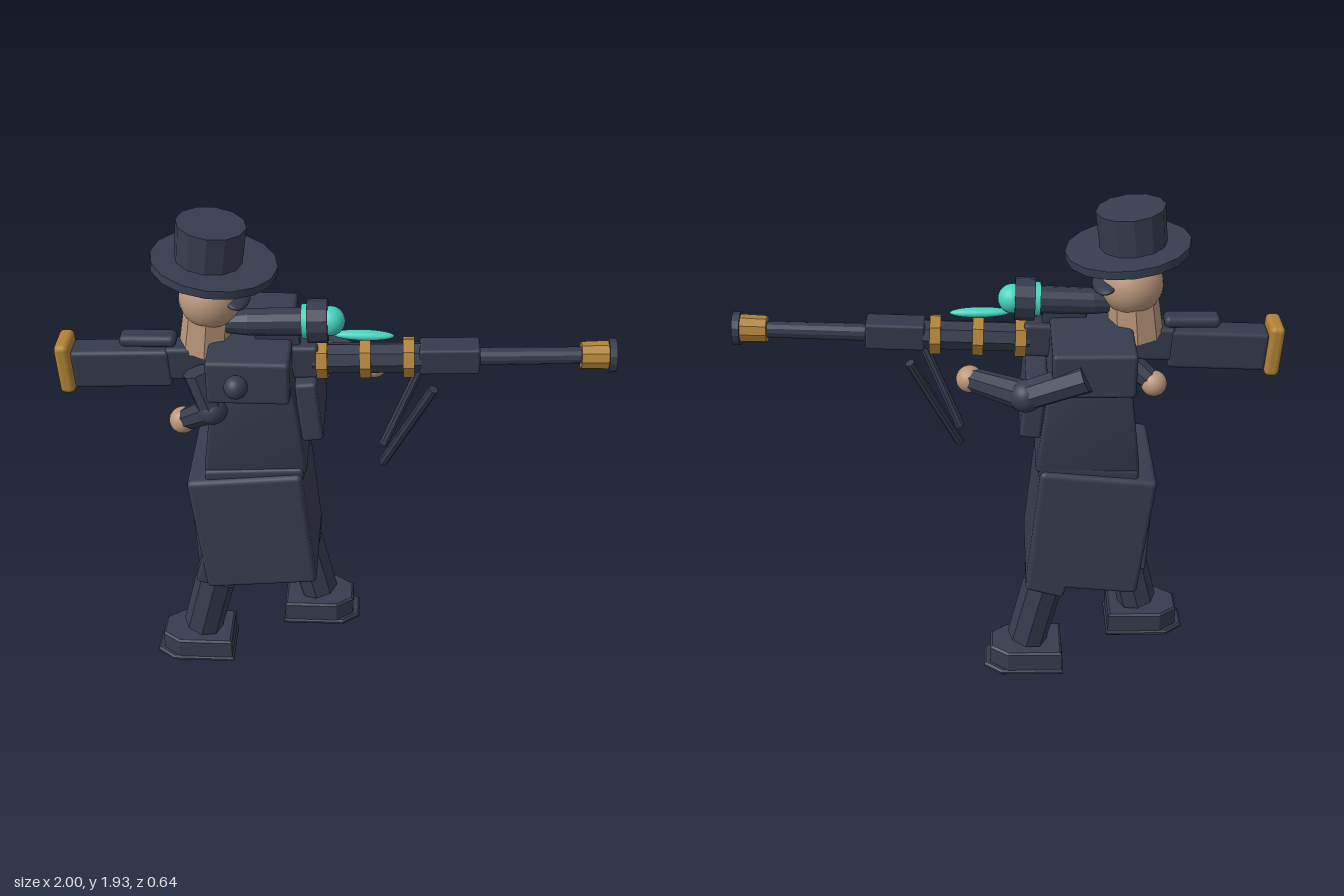
import * as THREE from 'three';
import { toCreasedNormals } from 'three/addons/utils/BufferGeometryUtils.js';
import { RoundedBoxGeometry } from 'three/addons/geometries/RoundedBoxGeometry.js';

const mat = (name, color) => Object.assign(new THREE.MeshStandardMaterial({ color }), { name });

export function createModel() {
  const cloth = mat('dark cloth', 0x373d4e);
  const metal = mat('dark metal', 0x343a4b);
  const brass = mat('brass', 0xb08236);
  const skin = mat('skin', 0xb8957a);
  const teal = mat('teal glow', 0x45d3be);
  const V = (p) => new THREE.Vector3(...p);

  const model = new THREE.Group();
  model.name = 'riflemanFigure';
  const group = (name, parent = model) => {
    const g = new THREE.Group();
    g.name = name;
    parent.add(g);
    return g;
  };
  const add = (parent, name, geo, material, pos = [0, 0, 0], rz = 0) => {
    const m = new THREE.Mesh(geo, material);
    m.name = name;
    m.position.set(...pos);
    m.rotation.z = rz;
    parent.add(m);
    return m;
  };
  const box = (w, h, d, r = 0.015) => new RoundedBoxGeometry(w, h, d, 2, r);
  const cyl = (rTop, rBottom, h, n) => toCreasedNormals(new THREE.CylinderGeometry(rTop, rBottom, h, n), 0.4);
  const ball = (r) => new THREE.SphereGeometry(r, 24, 16);
  // cylinder along x, r0 at the -x end
  const tubeX = (r0, r1, x0, x1, n) => cyl(r0, r1, x1 - x0, n).rotateZ(Math.PI / 2).translate((x0 + x1) / 2, 0, 0);
  // prism limb between two points
  const limb = (parent, name, a, b, ra, rb, material, n = 8) => {
    const A = V(a), B = V(b), dir = B.clone().sub(A);
    const m = add(parent, name, cyl(rb, ra, dir.length(), n), material);
    m.position.copy(A).add(B).multiplyScalar(0.5);
    m.quaternion.setFromUnitVectors(new THREE.Vector3(0, 1, 0), dir.normalize());
    return m;
  };
  // narrows a box in x towards its top
  const taperX = (geo, h, topScale) => {
    const p = geo.attributes.position;
    for (let i = 0; i < p.count; i++) {
      const t = p.getY(i) / h + 0.5;
      p.setX(i, p.getX(i) * (1 + (topScale - 1) * t));
    }
    geo.computeVertexNormals();
    return toCreasedNormals(geo, 0.4);
  };

  // coat
  const coat = group('coat');
  add(coat, 'skirt', box(0.435, 0.525, 0.43, 0.02), cloth, [-0.307, 0.69, -0.015], 0.1);
  add(coat, 'waistband', box(0.37, 0.06, 0.39), cloth, [-0.295, 0.955, -0.015], 0.06);
  add(coat, 'torso', taperX(box(0.385, 0.49, 0.38), 0.49, 0.68), cloth, [-0.29, 1.21, -0.02]);
  add(coat, 'shoulders', box(0.295, 0.17, 0.51), cloth, [-0.298, 1.403, -0.02]);
  add(coat, 'chestPanel', box(0.08, 0.25, 0.32), cloth, [-0.09, 1.22, -0.02], 0.1);
  add(coat, 'shoulderKnob', ball(0.042), cloth, [-0.332, 1.425, 0.283]);
  for (const z of [0.065, -0.075])
    add(coat, 'coatTail', box(0.03, 0.32, 0.08, 0.008), cloth, [-0.53, 0.6, z], 0.03);

  // head, glasses and neck
  const head = group('head');
  add(head, 'skull', ball(0.112), skin, [-0.44, 1.625, 0.015]);
  add(head, 'neck', cyl(0.09, 0.1, 0.15, 8), skin, [-0.455, 1.5, 0.015], -0.1);
  const glasses = add(head, 'glasses', ball(1), metal, [-0.345, 1.632, 0.012], -0.25);
  glasses.scale.set(0.048, 0.02, 0.1);

  // hat, tipped towards the front of the rifle
  const hat = group('hat');
  hat.position.set(-0.42, 1.76, 0.015);
  hat.rotation.z = -0.12;
  add(hat, 'brim', cyl(0.222, 0.222, 0.03, 16), cloth);
  add(hat, 'crown', cyl(0.122, 0.118, 0.15, 12), cloth, [-0.02, 0.075, 0]);

  // legs and shoes
  const leg = (name, hip, knee, ankle, shoeX, toe) => {
    const g = group(name);
    const slope = Math.atan2(knee[0] - hip[0], hip[1] - knee[1]);
    const len = Math.hypot(knee[0] - hip[0], knee[1] - hip[1]);
    add(g, 'thigh', box(0.155, len + 0.08, 0.18), cloth,
      [(hip[0] + knee[0]) / 2, (hip[1] + knee[1]) / 2, hip[2]], slope);
    limb(g, 'shin', knee, ankle, 0.08, 0.08, cloth);
    // shoe outline seen from above, with a cut toe
    const slab = (heel, tip, w, h) => {
      const s = new THREE.Shape([[-heel, -w], [tip - 0.07, -w], [tip, -w * 0.5], [tip, w * 0.5], [tip - 0.07, w], [-heel, w]]
        .map(([x, y]) => new THREE.Vector2(x * toe, y * toe)));
      return new THREE.ExtrudeGeometry(s, {
        depth: h - 0.016, bevelEnabled: true, bevelSize: 0.008, bevelThickness: 0.008, bevelOffset: -0.008, bevelSegments: 1,
      }).rotateX(-Math.PI / 2).translate(0, 0.008, 0);
    };
    add(g, 'sole', slab(0.155, 0.165, 0.103, 0.025), metal, [shoeX, 0, ankle[2]]);
    add(g, 'shoe', slab(0.148, 0.138, 0.097, 0.095), cloth, [shoeX, 0.014, ankle[2]]);
  };
  leg('leftLeg', [-0.25, 0.8, -0.14], [-0.147, 0.45, -0.14], [-0.075, 0.13, -0.137], -0.065, 1);
  leg('rightLeg', [-0.37, 0.8, 0.1], [-0.46, 0.45, 0.1], [-0.54, 0.13, 0.1], -0.565, -1);

  // arms: shoulder, elbow, hand
  const arm = (name, s, e, h, r) => {
    const g = group(name);
    limb(g, 'upperArm', s, e, r * 1.05, r, cloth);
    add(g, 'elbow', ball(r * 1.08), cloth, e);
    limb(g, 'forearm', e, h, r, r * 0.8, cloth);
    add(g, 'hand', ball(0.05), skin, h);
  };
  arm('leftArm', [-0.27, 1.4, -0.26], [-0.06, 1.305, -0.225], [0.14, 1.295, -0.085], 0.055);
  arm('rightArm', [-0.485, 1.4, 0.15], [-0.435, 1.25, 0.17], [-0.555, 1.16, 0.11], 0.05);

  // rifle, lying along x
  const rifle = group('rifle');
  rifle.position.set(0, 1.4, 0.042);
  rifle.rotation.z = 0.04;
  add(rifle, 'buttPlate', box(0.055, 0.2, 0.14, 0.02), brass, [-0.972, 0, 0]);
  add(rifle, 'stock', box(0.36, 0.15, 0.105), metal, [-0.768, -0.01, 0]);
  add(rifle, 'cheekRest', box(0.205, 0.045, 0.075, 0.02), metal, [-0.665, 0.093, 0], -0.03);
  add(rifle, 'receiver', box(0.55, 0.13, 0.1), metal, [-0.33, 0.008, 0]);
  add(rifle, 'handguard', tubeX(0.056, 0.056, -0.08, 0.31, 8), metal);
  for (const x of [-0.045, 0.11, 0.265])
    add(rifle, 'brassBand', tubeX(0.075, 0.075, x - 0.02, x + 0.02, 8), brass);
  add(rifle, 'foreEnd', box(0.215, 0.1, 0.1, 0.01), metal, [0.41, 0.004, 0]);
  add(rifle, 'barrel', tubeX(0.032, 0.03, 0.5, 0.9, 12), metal);
  add(rifle, 'muzzleSleeve', tubeX(0.05, 0.053, 0.875, 0.972, 10), brass);
  add(rifle, 'muzzleRim', tubeX(0.062, 0.062, 0.97, 0.997, 14), metal);

  // scope above the receiver
  const scope = group('scope', rifle);
  scope.position.set(0, 0.155, 0);
  add(scope, 'eyepiece', tubeX(0.028, 0.048, -0.46, -0.3, 12), metal);
  add(scope, 'scopeTube', tubeX(0.048, 0.05, -0.3, -0.09, 12), metal);
  add(scope, 'scopeRing', tubeX(0.062, 0.062, -0.11, -0.08, 16), teal);
  add(scope, 'scopeBell', tubeX(0.078, 0.078, -0.09, -0.018, 12), metal);
  add(scope, 'lens', ball(0.053), teal, [-0.01, 0, 0]);
  add(scope, 'mount', box(0.16, 0.08, 0.05, 0.008), metal, [-0.2, -0.07, 0]);
  const streak = add(scope, 'glowStreak', ball(1), teal, [0.105, -0.06, 0], -0.05);
  streak.scale.set(0.11, 0.018, 0.024);

  // bipod legs, spread at the top and closing downwards
  for (const s of [1, -1])
    limb(model, 'bipodLeg', [0.352, 1.375, 0.042 + s * 0.15], [0.182, 0.98, 0.042 + s * 0.055], 0.018, 0.018, metal, 8);

  return model;
}
